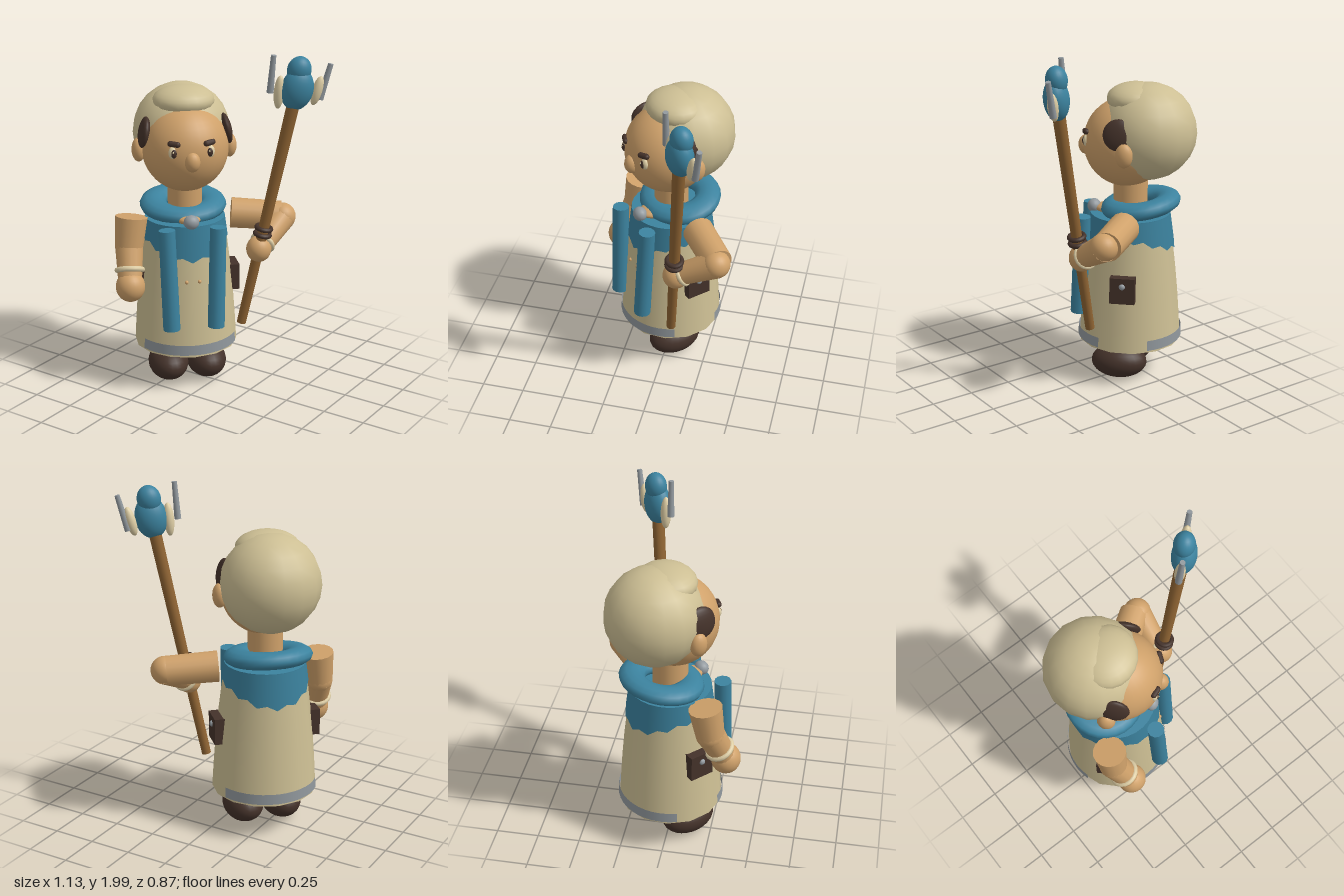
import * as THREE from 'three';

const mat = (name, color) => {
  const m = new THREE.MeshStandardMaterial({ color });
  m.name = name;
  return m;
};
const V = (x, y, z) => new THREE.Vector3(x, y, z);
const UP = V(0, 1, 0);

export function createModel() {
  const skin = mat('skin', 0xcfa16a), cream = mat('cream', 0xcdbf94), ivory = mat('ivory', 0xdfcfa6);
  const brown = mat('darkBrown', 0x44322a), teal = mat('teal', 0x3c839f);
  const wood = mat('wood', 0x8f6433), grey = mat('grey', 0x939a9f);
  const clothTeal = mat('tealCloth', 0x3c839f);
  clothTeal.side = THREE.DoubleSide;
  const trim = mat('greyTrim', 0x939a9f);
  trim.side = THREE.DoubleSide;

  const root = new THREE.Group();
  // The figure itself is turned 45 degrees towards its left
  const figure = new THREE.Group();
  figure.name = 'figure';
  figure.position.x = -0.21;
  figure.rotation.y = Math.PI / 4;
  root.add(figure);

  const add = (parent, name, geo, m, x = 0, y = 0, z = 0) => {
    const mesh = new THREE.Mesh(geo, m);
    mesh.name = name;
    mesh.position.set(x, y, z);
    parent.add(mesh);
    return mesh;
  };
  const ball = (parent, name, m, p, r, seg = 24) => {
    const mesh = add(parent, name, new THREE.SphereGeometry(1, seg, Math.ceil(seg * 0.7)), m, ...p);
    mesh.scale.set(...r);
    return mesh;
  };
  // Tapered rod between two points
  const rod = (parent, name, m, a, b, ra, rb, seg = 16) => {
    const A = V(...a), B = V(...b), d = B.clone().sub(A);
    const mesh = add(parent, name, new THREE.CylinderGeometry(rb, ra, d.length(), seg), m);
    mesh.position.copy(A).lerp(B, 0.5);
    mesh.quaternion.setFromUnitVectors(UP, d.normalize());
    return mesh;
  };
  // Ring around the rod a-b at fraction t
  const ring = (parent, name, m, a, b, t, R, r) => {
    const A = V(...a), B = V(...b);
    const mesh = add(parent, name, new THREE.TorusGeometry(R, r, 8, 20), m);
    mesh.position.copy(A).lerp(B, t);
    mesh.quaternion.setFromUnitVectors(V(0, 0, 1), B.sub(A).normalize());
    return mesh;
  };

  // Robe: slightly bulged cone
  const robeRadius = (y) => {
    const t = (y - 0.235) / 0.775;
    return 0.303 - 0.075 * t + 0.01 * Math.sin(Math.PI * t);
  };
  const fitToRobe = (geo, offset, yRule) => {
    const p = geo.attributes.position;
    for (let i = 0; i < p.count; i++) {
      const x = p.getX(i), z = p.getZ(i), a = Math.atan2(x, z);
      if (Math.hypot(x, z) < 1e-4) continue;
      const y = yRule ? yRule(p.getY(i), a) : p.getY(i);
      const r = robeRadius(y) + offset;
      p.setXYZ(i, r * Math.sin(a), y, r * Math.cos(a));
    }
    return geo;
  };
  const robe = new THREE.CylinderGeometry(0.228, 0.303, 0.775, 14, 5);
  robe.translate(0, 0.6225, 0);
  add(figure, 'robe', fitToRobe(robe, 0), cream);

  // Cape with a ragged lower edge and a flat top
  const cape = new THREE.CylinderGeometry(0.228, 0.28, 1, 28, 2, true);
  cape.translate(0, 0.5, 0);
  fitToRobe(cape, 0.006, (t, a) => {
    const k = Math.round((a / (2 * Math.PI)) * 28);
    const low = 0.815 + 0.09 * Math.sin(a) ** 2 + (k % 2 ? 0.012 : -0.012);
    return low + (1.012 - low) * t;
  });
  add(figure, 'cape', cape, clothTeal);
  add(figure, 'capeTop', new THREE.CylinderGeometry(0.234, 0.234, 0.008, 28), teal, 0, 1.01, 0);

  // Hem trim, front and back
  for (const start of [-1.08, Math.PI - 1.08]) {
    const band = new THREE.CylinderGeometry(0.3, 0.3, 0.06, 14, 1, true, start, 2.16);
    band.translate(0, 0.28, 0);
    add(figure, 'hemTrim', fitToRobe(band, 0.006), trim);
  }

  // Collar, throat and clasp
  const collar = add(figure, 'collar', new THREE.TorusGeometry(0.175, 0.08, 12, 28), teal, 0, 1.065, -0.06);
  collar.rotation.x = Math.PI / 2 + 0.15;
  collar.scale.set(1, 0.92, 0.62);
  ball(figure, 'throat', skin, [0, 1.03, 0.09], [0.08, 0.035, 0.12]);
  ball(figure, 'clasp', grey, [0, 1.035, 0.215], [0.045, 0.042, 0.04], 16);
  for (const a of [-0.44, -0.14, 0.14, 0.44]) {
    const r = robeRadius(0.69);
    ball(figure, 'button', skin, [r * Math.sin(a), 0.69, r * Math.cos(a) - 0.004], [0.011, 0.011, 0.011], 10);
  }

  // Head
  add(figure, 'neck', new THREE.CylinderGeometry(0.1, 0.1, 0.22, 20), skin, 0, 1.13, 0);
  ball(figure, 'head', skin, [0, 1.433, 0.025], [0.25, 0.258, 0.25], 32);
  ball(figure, 'hair', cream, [0, 1.5, -0.1], [0.283, 0.28, 0.28], 16);
  ball(figure, 'forelock', cream, [0, 1.69, -0.025], [0.18, 0.09, 0.165], 20);
  ball(figure, 'nose', skin, [0, 1.405, 0.262], [0.045, 0.058, 0.045], 16);

  for (const s of [-1, 1]) {
    ball(figure, 'ear', skin, [s * 0.265, 1.42, 0], [0.04, 0.07, 0.05], 16);
    ball(figure, 'sideburn', brown, [s * 0.237, 1.53, 0.035], [0.03, 0.09, 0.09], 16).rotation.z = s * 0.2;
    ball(figure, 'eye', ivory, [s * 0.105, 1.457, 0.24], [0.026, 0.036, 0.02], 16);
    ball(figure, 'pupil', brown, [s * 0.102, 1.455, 0.253], [0.017, 0.025, 0.013], 12);
    ball(figure, 'eyeGlint', ivory, [s * 0.102 - 0.005, 1.464, 0.264], [0.005, 0.006, 0.004], 8);
    const brow = add(figure, 'brow', new THREE.CapsuleGeometry(0.017, 0.04, 4, 10), brown, s * 0.1, 1.508, 0.245);
    brow.rotation.set(0, s * 0.4, Math.PI / 2 + s * 0.1);

    // Legs and shoes
    add(figure, 'leg', new THREE.CylinderGeometry(0.09, 0.09, 0.1, 16), cream, s * 0.112, 0.24, -0.02);
    ball(figure, 'shoe', brown, [s * 0.115, 0.108, 0.045], [0.118, 0.1, 0.165]);

    // Hanging scarf ends
    rod(figure, 'scarfEnd', teal, [s * 0.13, 0.415, 0.285], [s * 0.148, 1.012, 0.257], 0.05, 0.048, 12);

    // Belt pouches
    add(figure, 'pouch', new THREE.BoxGeometry(0.06, 0.155, 0.145), brown, s * 0.283, 0.627, 0);
    ball(figure, 'pouchStud', grey, [s * 0.313, 0.655, 0], [0.014, 0.018, 0.018], 12);
  }

  // Right arm, hanging
  const elbowR = [-0.335, 0.85, 0.035], wristR = [-0.345, 0.68, 0.12];
  rod(figure, 'rightUpperArm', skin, elbowR, [-0.315, 1.025, 0.015], 0.082, 0.095);
  ball(figure, 'rightElbow', skin, elbowR, [0.082, 0.082, 0.082]);
  rod(figure, 'rightForearm', skin, wristR, elbowR, 0.07, 0.082);
  ring(figure, 'rightBracelet', ivory, elbowR, wristR, 0.72, 0.073, 0.016);
  ball(figure, 'rightHand', skin, [-0.346, 0.642, 0.14], [0.085, 0.09, 0.085]);

  // Left arm, bent back and gripping the staff
  const shoulderL = [-0.02, 1.005, -0.2], elbowL = [0.22, 0.985, -0.365], handL = [0.222, 0.85, -0.125];
  rod(root, 'leftUpperArm', skin, shoulderL, elbowL, 0.09, 0.086);
  ball(root, 'leftElbow', skin, [0.235, 0.985, -0.36], [0.08, 0.08, 0.08]);
  rod(root, 'leftForearm', skin, [0.235, 0.985, -0.365], handL, 0.08, 0.062);
  ring(root, 'leftBracelet', ivory, elbowL, handL, 0.82, 0.064, 0.014);
  ball(root, 'leftHand', skin, handL, [0.072, 0.078, 0.075]);

  // Staff with grip rings
  const foot = [0.135, 0.385, -0.08], tip = [0.402, 1.72, -0.18];
  rod(root, 'staff', wood, foot, tip, 0.027, 0.036);
  for (const t of [0.42, 0.448]) ring(root, 'gripRing', brown, foot, tip, t, 0.042, 0.014);

  // Staff head
  const tilt = V(0.267, 1.335, -0.1).normalize();
  const lean = new THREE.Quaternion().setFromUnitVectors(UP, tilt);
  const turn = new THREE.Quaternion().setFromAxisAngle(UP, Math.PI / 4);
  const orb = ball(root, 'staffHead', teal, [0.42, 1.805, -0.187], [0.092, 0.12, 0.07]);
  orb.quaternion.copy(lean).multiply(turn);
  const cap = ball(root, 'staffHeadTop', teal, [0.425, 1.91, -0.197], [0.068, 0.078, 0.06]);
  cap.quaternion.copy(orb.quaternion);

  // Prongs: ivory root and grey blade on each side
  const prongs = [
    { root: [0.342, 1.79, -0.125], half: 0.095, low: [0.305, 1.79, -0.09], high: [0.325, 2.0, -0.09] },
    { root: [0.498, 1.79, -0.272], half: 0.085, low: [0.507, 1.74, -0.288], high: [0.555, 1.94, -0.317] },
  ];
  for (const p of prongs) {
    const horn = ball(root, 'prongRoot', ivory, p.root, [0.03, p.half, 0.03], 14);
    horn.quaternion.setFromUnitVectors(UP, V(...p.high).sub(V(...p.low)).normalize());
    rod(root, 'prongBlade', grey, p.low, p.high, 0.02, 0.015, 10);
  }
  return root;
}
